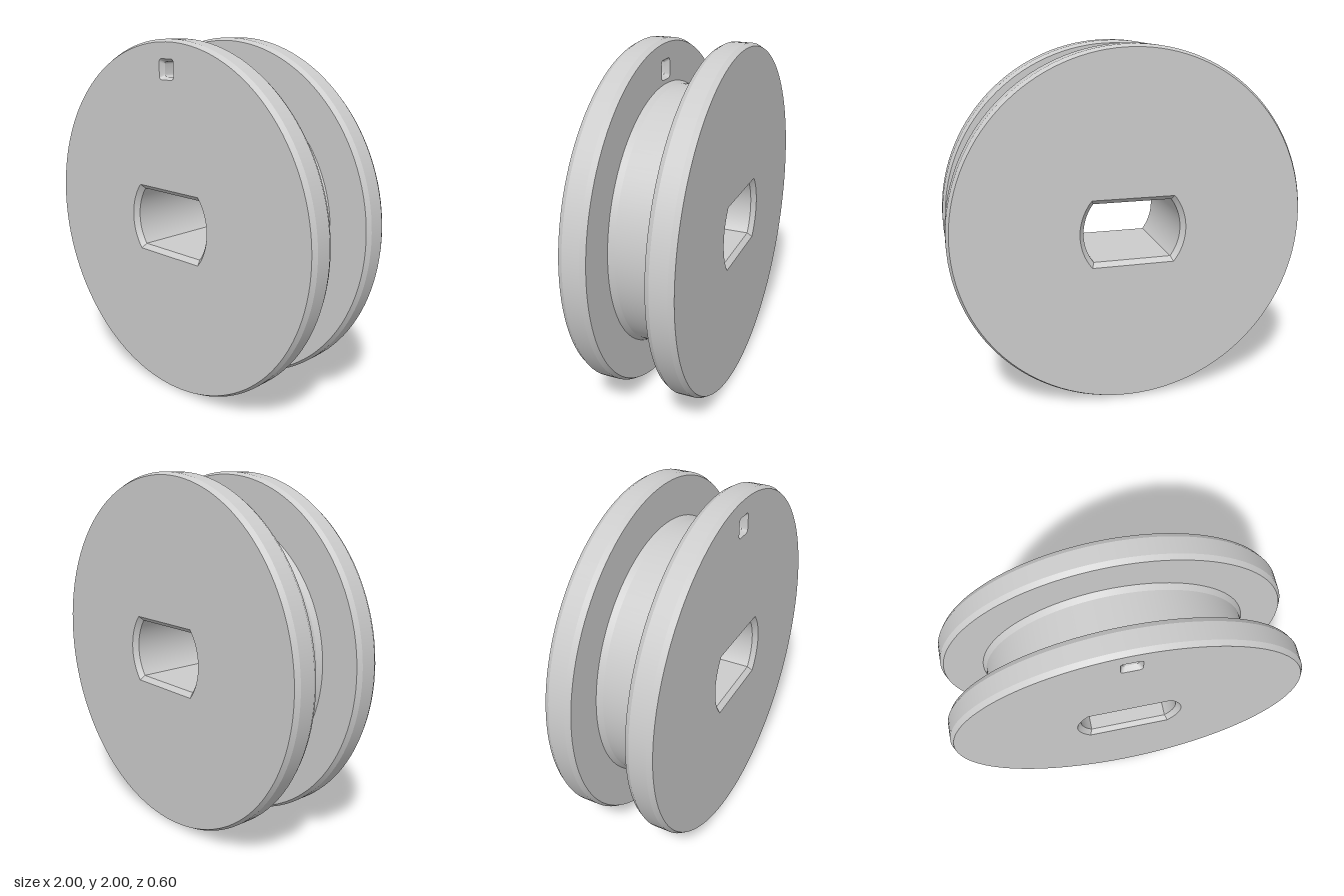
import * as THREE from 'three';
import { toCreasedNormals } from 'three/addons/utils/BufferGeometryUtils.js';

const SEG = 128;
const RIM = 1, FACE = 0.985, HUB = 0.75, HUB_FLARE = 0.765; // radii
const OUT = 0.3, IN = 0.152, CH = 0.027;                    // depths along z
const CY = 1;                                               // axle height
const KEY_Y = 0.843;                                        // peg hole above axle

const material = new THREE.MeshStandardMaterial({ color: 0xcccccc });

// Counter-clockwise outlines
function circle(r) {
  return new THREE.Path().absarc(0, 0, r, 0, Math.PI * 2).getPoints(SEG / 2).length
    ? Array.from({ length: SEG }, (_, i) => {
        const a = (i / SEG) * Math.PI * 2;
        return new THREE.Vector2(r * Math.cos(a), r * Math.sin(a));
      })
    : [];
}

// Circle cut by two flats
function boreOutline(r, h) {
  const a = Math.asin(h / r), n = 24, pts = [];
  for (const start of [-a, Math.PI - a]) {
    for (let i = 0; i <= n; i++) {
      const t = start + (2 * a * i) / n;
      pts.push(new THREE.Vector2(r * Math.cos(t), r * Math.sin(t)));
    }
  }
  return pts;
}

// Rounded square
function pegOutline(half, radius) {
  const n = 5, c = half - radius, pts = [];
  for (let k = 0; k < 4; k++) {
    const sx = k === 0 || k === 3 ? 1 : -1, sy = k < 2 ? 1 : -1;
    for (let i = 0; i <= n; i++) {
      const t = (k + i / n) * Math.PI / 2;
      pts.push(new THREE.Vector2(sx * c + radius * Math.cos(t), KEY_Y + sy * c + radius * Math.sin(t)));
    }
  }
  return pts;
}

// Inward-facing wall through [outline, z] rings, ordered front to back
function tunnel(rings) {
  const pos = [];
  const put = (p, z) => pos.push(p.x, p.y, z);
  for (let k = 0; k < rings.length - 1; k++) {
    const [a, za] = rings[k], [b, zb] = rings[k + 1];
    for (let i = 0; i < a.length; i++) {
      const j = (i + 1) % a.length;
      put(a[i], za); put(a[j], za); put(b[i], zb);
      put(a[j], za); put(b[j], zb); put(b[i], zb);
    }
  }
  const g = new THREE.BufferGeometry();
  g.setAttribute('position', new THREE.Float32BufferAttribute(pos, 3));
  return toCreasedNormals(g, 0.35);
}

// Flat disc with holes, facing +z or -z
function disc(r, holes, z, dir) {
  const shape = new THREE.Shape(circle(r));
  shape.holes = holes.map((h) => new THREE.Path(h));
  const g = new THREE.ShapeGeometry(shape);
  if (dir < 0) g.rotateY(Math.PI);
  return g.translate(0, 0, z);
}

// Conical or straight band from (r0, z0) forward to (r1, z1)
function band(r0, z0, r1, z1) {
  return new THREE.CylinderGeometry(r1, r0, z1 - z0, SEG, 1, true)
    .rotateX(Math.PI / 2).translate(0, 0, (z0 + z1) / 2);
}

export function createModel() {
  const model = new THREE.Group();
  model.name = 'spool';
  const add = (parent, name, geometry) => {
    const mesh = new THREE.Mesh(geometry, material);
    mesh.name = name;
    parent.add(mesh);
  };

  const boreWide = boreOutline(0.3, 0.19), bore = boreOutline(0.275, 0.165);
  const pegWide = pegOutline(0.055, 0.018), peg = pegOutline(0.04, 0.014);

  // Two flanges with chamfered rims; only the front one has the peg hole
  for (const side of [1, -1]) {
    const flange = new THREE.Group();
    flange.name = side > 0 ? 'frontFlange' : 'backFlange';
    const extra = side > 0 ? [pegWide] : [];
    const lo = side > 0 ? IN : -OUT, hi = side > 0 ? OUT : -IN;
    add(flange, 'outerFace', disc(FACE, [boreWide, ...extra], side * OUT, side));
    add(flange, 'innerFace', disc(FACE, [circle(HUB_FLARE), ...extra], side * IN, -side));
    add(flange, 'backChamfer', band(FACE, lo, RIM, lo + CH));
    add(flange, 'rim', band(RIM, lo + CH, RIM, hi - CH));
    add(flange, 'frontChamfer', band(RIM, hi - CH, FACE, hi));
    model.add(flange);
  }

  // Hub with a small flare at each end
  const hub = new THREE.Group();
  hub.name = 'hub';
  add(hub, 'backFlare', band(HUB_FLARE, -IN, HUB, -IN + 0.032));
  add(hub, 'drum', band(HUB, -IN + 0.032, HUB, IN - 0.032));
  add(hub, 'frontFlare', band(HUB, IN - 0.032, HUB_FLARE, IN));
  model.add(hub);

  // Chamfered axle bore and peg hole
  add(model, 'axleBore', tunnel([[boreWide, OUT], [bore, OUT - CH], [bore, CH - OUT], [boreWide, -OUT]]));
  add(model, 'pegHole', tunnel([[pegWide, OUT], [peg, OUT - CH], [peg, IN + CH], [pegWide, IN]]));

  // Lift so the rims stand on the ground
  model.children.forEach((part) => { part.position.y = CY; });
  return model;
}
